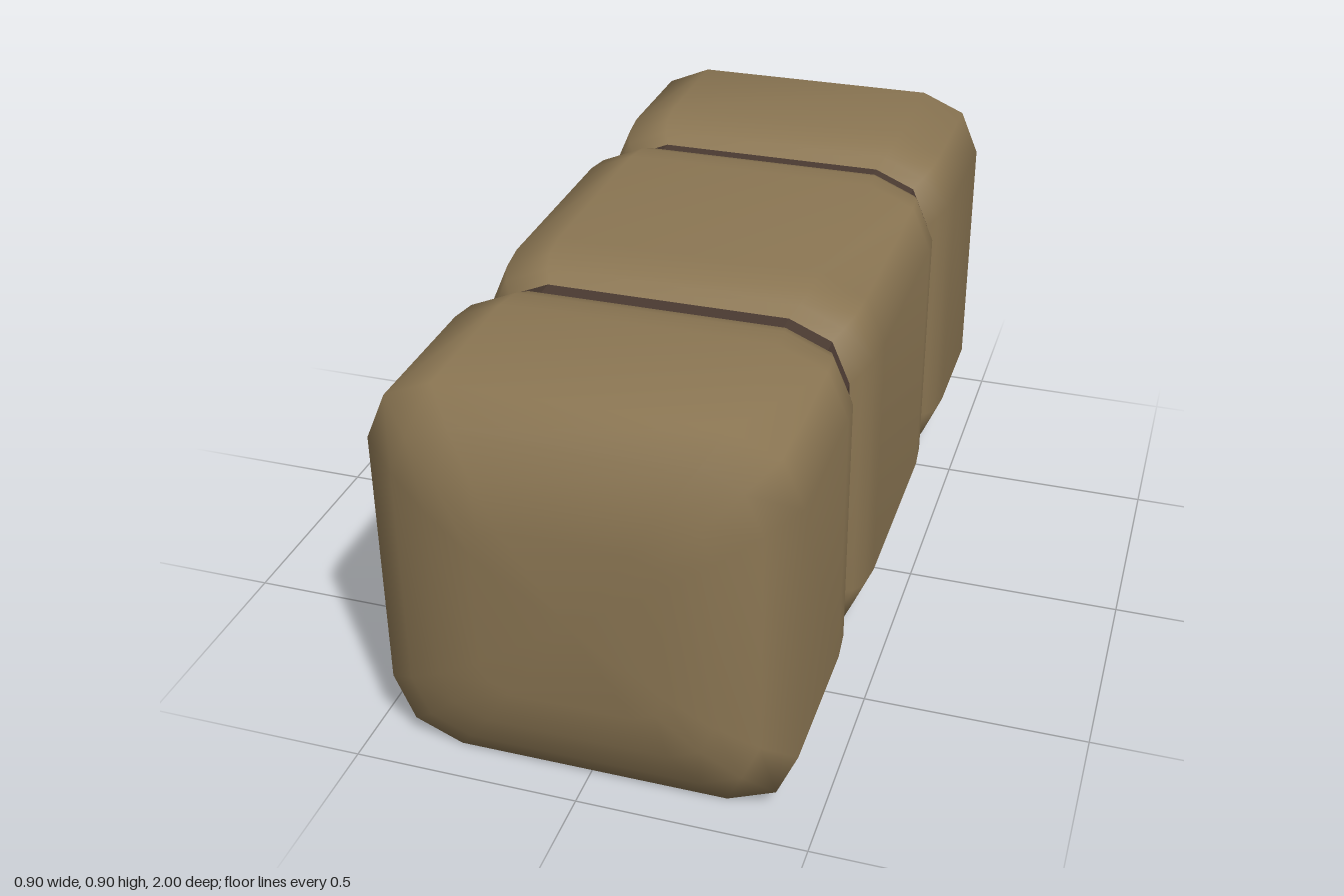
import * as THREE from 'three';

const CENTRE_Y = 0.45;

// Square section with double-bevelled corners, counter-clockwise seen from +z
const SECTION = [];
for (let q = 0; q < 4; q++) {
  const c = Math.round(Math.cos(q * Math.PI / 2)), s = Math.round(Math.sin(q * Math.PI / 2));
  for (const [x, y] of [[0.45, 0.3], [0.405, 0.405], [0.3, 0.45]]) {
    SECTION.push([x * c - y * s, x * s + y * c]);
  }
}

// Skins the section along z; rings are [z, scale] from front to back
function loft(rings) {
  const n = SECTION.length, positions = [], index = [];
  for (const [z, k] of rings) {
    for (const [x, y] of SECTION) positions.push(x * k, CENTRE_Y + y * k, z);
  }
  for (let i = 0; i < rings.length - 1; i++) {
    for (let j = 0; j < n; j++) {
      const a = i * n + j, b = i * n + (j + 1) % n, c = a + n, d = b + n;
      index.push(a, c, b, b, c, d);
    }
  }
  const geometry = new THREE.BufferGeometry();
  geometry.setAttribute('position', new THREE.Float32BufferAttribute(positions, 3));
  geometry.setIndex(index);
  geometry.computeVertexNormals();
  return geometry;
}

export function createModel() {
  const burlap = new THREE.MeshStandardMaterial({ color: 0x8b7653 });
  burlap.name = 'burlap';
  const leather = new THREE.MeshStandardMaterial({ color: 0x4a3a31 });
  leather.name = 'dark strap';

  const group = new THREE.Group();
  group.name = 'strappedBale';
  const add = (name, geometry, material) => {
    const mesh = new THREE.Mesh(geometry, material);
    mesh.name = name;
    group.add(mesh);
  };

  const straps = [['frontStrap', 0.387], ['backStrap', -0.437]];

  // Bale: domed ends, pinched in under each strap
  const dome = [[1, 0], [1, 0.44], [0.98, 0.66], [0.945, 0.85], [0.9, 1]];
  const rings = [...dome];
  for (const [, z] of straps) {
    for (const [dz, k] of [[0.17, 1], [0.1, 0.985], [0.055, 0.95], [0.024, 0.9], [0, 0.88]]) {
      rings.push([z + dz, k]);
    }
    for (const [dz, k] of [[0.024, 0.9], [0.055, 0.95], [0.1, 0.985], [0.17, 1]]) {
      rings.push([z - dz, k]);
    }
  }
  rings.push(...dome.map(([z, k]) => [-z, k]).reverse());
  add('bale', loft(rings), burlap);

  // Straps: flat bands with hard edges
  for (const [name, z] of straps) {
    const h = 0.0235;
    const band = loft([[z + h, 0.84], [z + h, 0.905], [z - h, 0.905], [z - h, 0.84]]).toNonIndexed();
    band.computeVertexNormals();
    add(name, band, leather);
  }
  return group;
}
